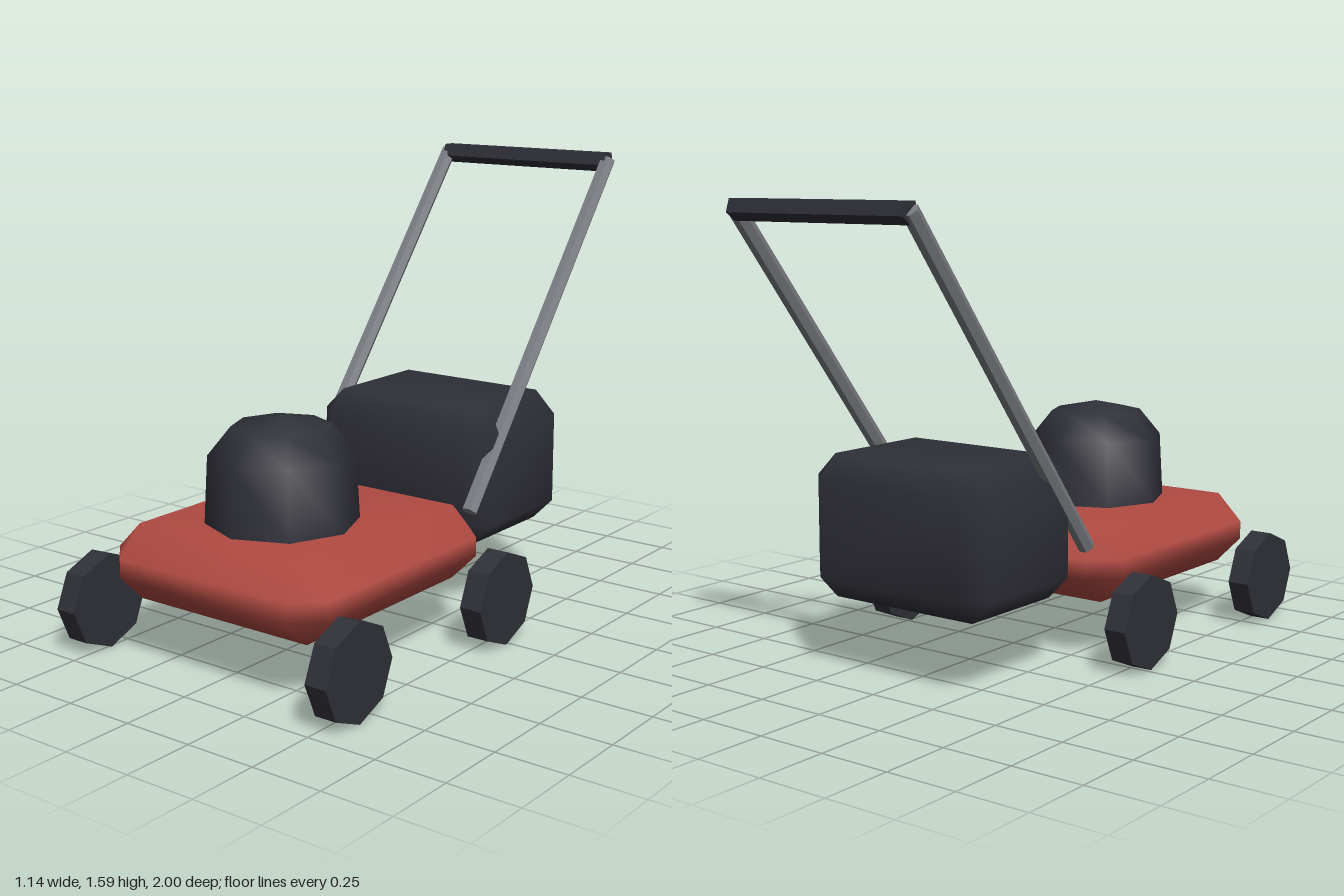
import * as THREE from 'three';
import { mergeVertices } from 'three/addons/utils/BufferGeometryUtils.js';
import { ConvexGeometry } from 'three/addons/geometries/ConvexGeometry.js';

const material = (name, color) => {
  const m = new THREE.MeshStandardMaterial({ color });
  m.name = name;
  return m;
};

// Box with single-step bevels and soft shading
function bevelledBox(w, h, d, bevel) {
  const points = [];
  for (const sx of [-1, 1]) for (const sy of [-1, 1]) for (const sz of [-1, 1]) {
    for (let axis = 0; axis < 3; axis++) {
      const half = [w / 2, h / 2, d / 2].map((v, i) => (i === axis ? v : v - bevel));
      points.push(new THREE.Vector3(sx * half[0], sy * half[1], sz * half[2]));
    }
  }
  let geo = new ConvexGeometry(points);
  geo.deleteAttribute('normal');
  geo = mergeVertices(geo, 1e-4);
  geo.computeVertexNormals();
  return geo;
}

// Low-poly cylinder with hard facets
function facetedCylinder(radius, length, sides) {
  const geo = new THREE.CylinderGeometry(radius, radius, length, sides).toNonIndexed();
  geo.computeVertexNormals();
  return geo;
}

export function createModel() {
  const red = material('red paint', 0xb04a42);
  const dark = material('dark plastic', 0x2f3038);
  const steel = material('grey steel', 0x787b80);

  const model = new THREE.Group();
  model.name = 'lawnMower';
  const add = (name, geo, mat, x, y, z) => {
    const mesh = new THREE.Mesh(geo, mat);
    mesh.name = name;
    mesh.position.set(x, y, z);
    model.add(mesh);
    return mesh;
  };

  // Cutting deck and rear grass bag
  add('deck', bevelledBox(0.9, 0.26, 0.985, 0.097), red, 0, 0.33, 0.425);
  add('grassBag', bevelledBox(0.74, 0.49, 0.57, 0.08), dark, 0, 0.495, -0.395);

  // Engine dome, eight-sided
  const dome = [[0, 0.4], [0.26, 0.4], [0.258, 0.46], [0.245, 0.69], [0.167, 0.785], [0, 0.82]];
  add('engine', new THREE.LatheGeometry(dome.map(([r, y]) => new THREE.Vector2(r, y)), 8),
    dark, 0, 0, 0.51);

  // Wheels
  const wheelGeo = facetedCylinder(0.165, 0.08, 8).rotateZ(Math.PI / 2);
  for (const [end, z] of [['front', 0.835], ['rear', 0.017]]) {
    for (const [side, s] of [['Left', 1], ['Right', -1]]) {
      add(`${end}${side}Wheel`, wheelGeo, dark, s * 0.53, 0.165, z);
    }
  }

  // Slanted handle posts
  const low = new THREE.Vector2(-0.065, 0.413), high = new THREE.Vector2(-0.963, 1.56);
  const postGeo = facetedCylinder(0.029, low.distanceTo(high), 6)
    .rotateY(Math.PI / 2)
    .rotateX(Math.atan2(high.x - low.x, high.y - low.y));
  for (const [side, s] of [['left', 1], ['right', -1]]) {
    add(`${side}HandlePost`, postGeo, steel, s * 0.358, (low.y + high.y) / 2, (low.x + high.x) / 2);
  }

  // Grip bar, five-sided with a flat top
  const gripGeo = facetedCylinder(0.039, 0.72, 5).rotateZ(Math.PI / 2).rotateX(Math.PI / 2);
  add('gripBar', gripGeo, dark, 0, 1.555, -0.963);

  return model;
}
